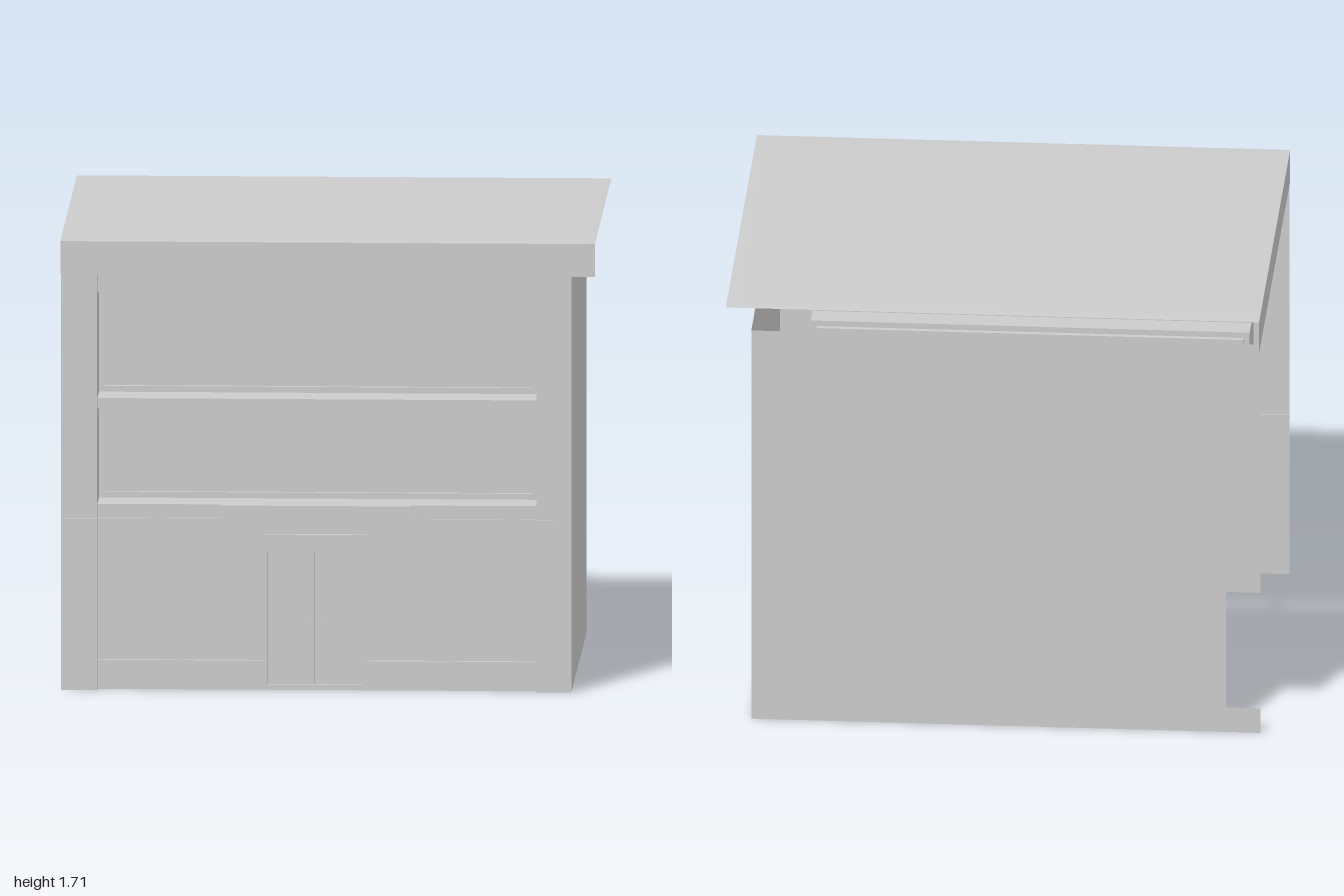
import * as THREE from 'three';

const mat = new THREE.MeshStandardMaterial({ color: 0xcccccc, side: THREE.DoubleSide });

export function createModel() {
  const root = new THREE.Group();

  const add = (name, geo, parent = root) => {
    const m = new THREE.Mesh(geo, mat);
    m.name = name;
    parent.add(m);
    return m;
  };
  const group = (name) => {
    const g = new THREE.Group();
    g.name = name;
    root.add(g);
    return g;
  };
  // Thin sheets facing z, x and y, given by their extents
  const sheetZ = (name, x0, x1, y0, y1, z, p) =>
    add(name, new THREE.PlaneGeometry(x1 - x0, y1 - y0).translate((x0 + x1) / 2, (y0 + y1) / 2, z), p);
  const sheetX = (name, z0, z1, y0, y1, x, p) =>
    add(name, new THREE.PlaneGeometry(z1 - z0, y1 - y0).rotateY(Math.PI / 2).translate(x, (y0 + y1) / 2, (z0 + z1) / 2), p);
  const sheetY = (name, x0, x1, z0, z1, y, p) =>
    add(name, new THREE.PlaneGeometry(x1 - x0, z1 - z0).rotateX(-Math.PI / 2).translate((x0 + x1) / 2, y, (z0 + z1) / 2), p);
  const box = (name, x0, x1, y0, y1, z0, z1, p) =>
    add(name, new THREE.BoxGeometry(x1 - x0, y1 - y0, z1 - z0).translate((x0 + x1) / 2, (y0 + y1) / 2, (z0 + z1) / 2), p);
  // Four reveal sides of an opening running from z0 to z1
  const reveal = (x0, x1, y0, y1, z0, z1, p) => {
    for (const x of [x0, x1]) sheetX('revealSide', z0, z1, y0, y1, x, p);
    for (const y of [y0, y1]) sheetY('revealLedge', x0, x1, z0, z1, y, p);
  };

  const L = -1, R = 0.91, IL = -0.865, IR = 0.78; // outer and inner pilaster edges
  const FRONT = 0.77, FACE = 0.74, BACK = -0.74, TOP = 1.58;

  // Solid right-hand wall, and back wall with a notch at its open end
  sheetX('sideWall', BACK, FRONT, 0, TOP, R);
  const back = new THREE.Shape([
    [L, 0], [R, 0], [R, TOP], [L, TOP], [L, 0.57], [-0.87, 0.57], [-0.87, 0.1], [L, 0.1],
  ].map(([x, y]) => new THREE.Vector2(x, y)));
  add('backWall', new THREE.ShapeGeometry(back).rotateY(Math.PI).scale(-1, 1, 1).translate(0, 0, BACK));

  // Pilasters with short returns to the facade
  const pilasters = group('pilasters');
  sheetZ('pilaster', L, IL, 0, TOP, FRONT, pilasters);
  sheetZ('pilaster', IR, R, 0, TOP, FRONT, pilasters);
  for (const x of [IL, IR]) sheetX('pilasterReturn', FACE, FRONT, 0, TOP, x, pilasters);

  // Flat facade strips: x0, x1, y0, y1
  const facade = group('facade');
  [
    [IL, -0.24, 0, 0.11], [0.14, IR, 0, 0.11], [-0.24, 0.14, 0, 0.02],
    [IL, IR, 0.575, 0.70], [IL, IR, 1.06, 1.10], [IL, IR, 1.5, TOP],
    [-0.555, -0.545, 0.11, 0.575], [0.455, 0.465, 0.11, 0.575],
    [-0.24, -0.23, 0.02, 0.575], [0.13, 0.14, 0.02, 0.575],
  ].forEach((s) => sheetZ('facadeStrip', ...s, FACE, facade));

  // Deep upper window bays: ledge, frame and slightly sunken glass
  for (const [y0, y1] of [[0.70, 1.06], [1.10, 1.5]]) {
    const bay = group('upperWindow');
    const z = 0.58, f = 0.022;
    reveal(IL, IR, y0, y1, z, FACE, bay);
    sheetZ('frameBottom', IL, IR, y0, y0 + f, z, bay);
    sheetZ('frameTop', IL, IR, y1 - f, y1, z, bay);
    sheetZ('frameSide', IL, IL + f, y0 + f, y1 - f, z, bay);
    sheetZ('frameSide', IR - f, IR, y0 + f, y1 - f, z, bay);
    reveal(IL + f, IR - f, y0 + f, y1 - f, z - 0.02, z, bay);
    sheetZ('glass', IL + f, IR - f, y0 + f, y1 - f, z - 0.02, bay);
  }

  // Ground-floor shop windows
  for (const [x0, x1] of [[IL, -0.555], [-0.545, -0.24], [0.14, 0.455], [0.465, IR]]) {
    const win = group('shopWindow');
    reveal(x0, x1, 0.11, 0.575, FACE - 0.02, FACE, win);
    sheetZ('glass', x0, x1, 0.11, 0.575, FACE - 0.02, win);
  }

  // Double door with lintel and pull handles
  const door = group('doubleDoor');
  reveal(-0.23, 0.13, 0.02, 0.575, FACE - 0.015, FACE, door);
  sheetZ('doorBacking', -0.23, 0.13, 0.02, 0.575, FACE - 0.015, door);
  box('doorLeaf', -0.228, -0.054, 0.022, 0.525, FACE - 0.014, FACE, door);
  box('doorLeaf', -0.046, 0.128, 0.022, 0.525, FACE - 0.014, FACE, door);
  box('lintel', -0.24, 0.14, 0.525, 0.59, FACE - 0.01, 0.76, door);
  for (const x of [-0.07, -0.03]) {
    box('handleBar', x - 0.005, x + 0.005, 0.165, 0.26, FACE + 0.018, FACE + 0.027, door);
    for (const y of [0.185, 0.24]) box('handleMount', x - 0.004, x + 0.004, y - 0.004, y + 0.004, FACE, FACE + 0.02, door);
  }

  // Blank signboard and the string course on either side of it
  box('signboard', -0.405, 0.305, 0.595, 0.70, FACE - 0.005, 0.766);
  const course = group('stringCourse');
  box('courseEnd', L, IL, 0.637, 0.65, FRONT - 0.005, 0.778, course);
  box('courseEnd', IR, R, 0.637, 0.65, FRONT - 0.005, 0.778, course);
  box('courseInner', IL, -0.405, 0.637, 0.65, FACE - 0.005, 0.75, course);
  box('courseInner', 0.305, IR, 0.637, 0.65, FACE - 0.005, 0.75, course);

  // Roof sheet with gently falling margins, fascia and front soffit
  const roof = new THREE.PlaneGeometry(2, 1.64, 2, 3).rotateX(-Math.PI / 2);
  const pos = roof.attributes.position;
  const xs = [-1, 0.93, 1], zs = [-0.82, -0.75, 0.75, 0.82];
  for (let i = 0; i < pos.count; i++) {
    const c = i % 3, r = Math.floor(i / 3);
    pos.setXYZ(i, xs[c], c === 2 || r === 0 || r === 3 ? 1.705 : 1.71, zs[r]);
  }
  roof.computeVertexNormals();
  add('roof', roof);
  sheetZ('frontFascia', -1, 1, TOP, 1.705, 0.82);
  sheetX('sideFascia', -0.82, 0.82, TOP, 1.705, -1);
  sheetY('soffit', -1, 1, FRONT, 0.82, TOP);

  return root;
}
